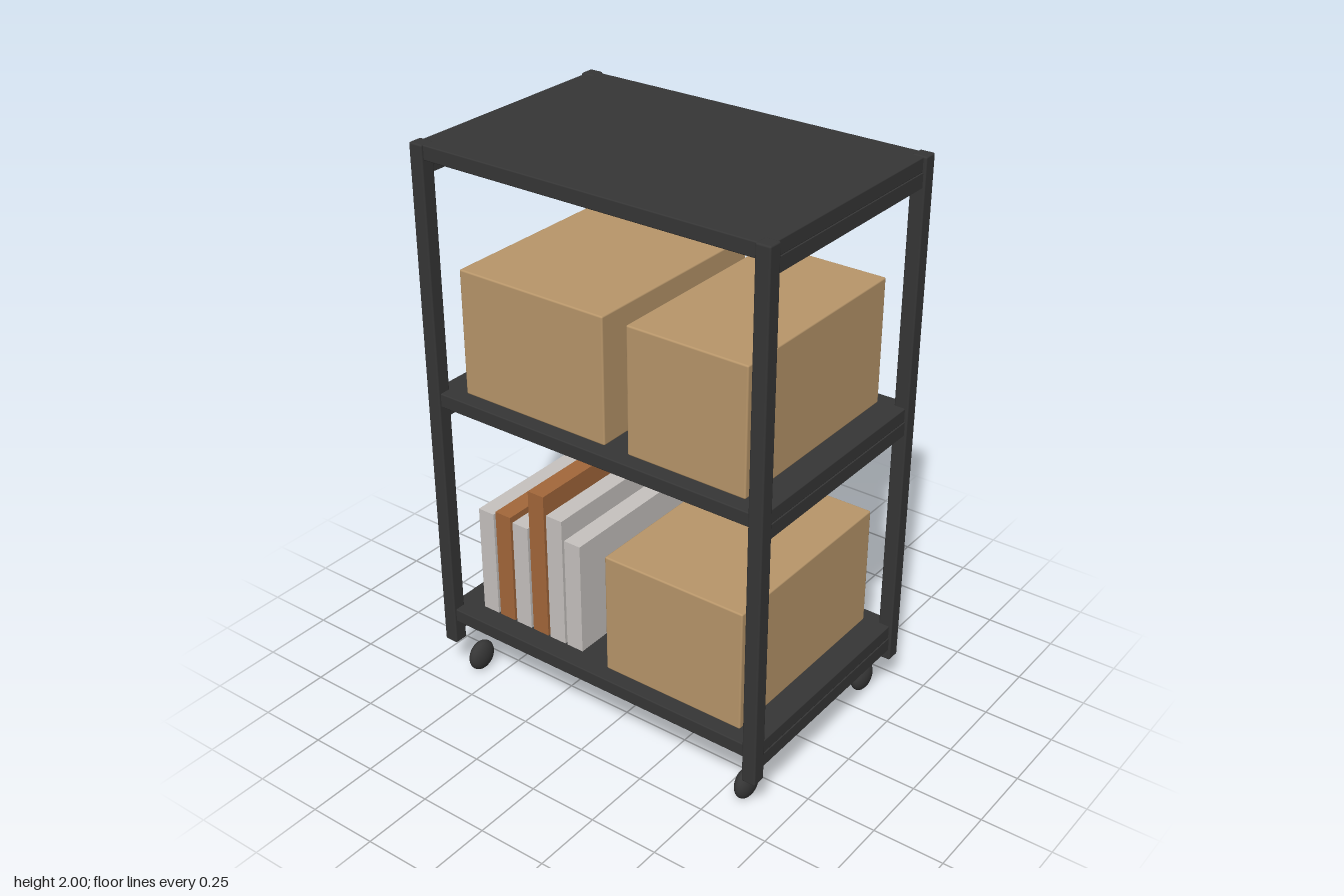
import * as THREE from 'three';
import { RoundedBoxGeometry } from 'three/addons/geometries/RoundedBoxGeometry.js';

const paint = (name, color) => {
  const m = new THREE.MeshStandardMaterial({ color });
  m.name = name;
  return m;
};

export function createModel() {
  const model = new THREE.Group();
  model.name = 'shelfTrolley';
  const metal = paint('charcoal metal', 0x363636);
  const card = paint('cardboard', 0xb8966a);
  const brown = paint('brown cover', 0xa3673a);
  const grey = paint('light grey cover', 0xc6c2bf);

  // box given by its extents on each axis, with an optional softened edge
  const block = (name, material, [x0, x1], [y0, y1], [z0, z1], bevel = 0) => {
    const size = [x1 - x0, y1 - y0, z1 - z0];
    const geometry = bevel
      ? new RoundedBoxGeometry(...size, 2, bevel)
      : new THREE.BoxGeometry(...size);
    const mesh = new THREE.Mesh(geometry, material);
    mesh.name = name;
    mesh.position.set((x0 + x1) / 2, (y0 + y1) / 2, (z0 + z1) / 2);
    model.add(mesh);
  };

  // corner posts and oval castor wheels
  const wheelGeometry = new THREE.SphereGeometry(1, 24, 16);
  for (const sx of [-1, 1]) {
    for (const sz of [-1, 1]) {
      const x = sx * 0.64, z = sz * 0.416;
      block('post', metal, [x - 0.026, x + 0.026], [0.14, 2], [z - 0.026, z + 0.026], 0.006);
      const wheel = new THREE.Mesh(wheelGeometry, metal);
      wheel.name = 'wheel';
      wheel.scale.set(0.031, 0.056, 0.056);
      wheel.position.set(sx * 0.578, 0.057, sz * 0.357);
      model.add(wheel);
    }
  }

  // shelves, each carried on a pair of side rails
  for (const top of [0.28, 1.14, 1.998]) {
    block('shelf', metal, [-0.655, 0.655], [top - 0.05, top], [-0.433, 0.433], 0.004);
    for (const sx of [-1, 1]) {
      const x = sx * 0.638;
      block('sideRail', metal, [x - 0.02, x + 0.02], [top - 0.098, top - 0.05], [-0.4, 0.4]);
    }
  }

  // storage boxes
  const depth = [-0.377, 0.38];
  block('storageBox', card, [-0.547, 0.03], [1.14, 1.585], depth, 0.006);
  block('storageBox', card, [0.12, 0.562], [1.14, 1.585], depth, 0.006);
  block('storageBox', card, [0.02, 0.562], [0.28, 0.725], depth, 0.006);

  // row of upright books: cover and top height
  const books = [[grey, 0.685], [brown, 0.7], [grey, 0.685], [brown, 0.837], [grey, 0.77], [grey, 0.7]];
  books.forEach(([cover, height], i) => {
    const x = -0.547 + i * 0.0755;
    block('book', cover, [x, x + 0.066], [0.28, height], [-0.332, 0.357]);
  });

  return model;
}
